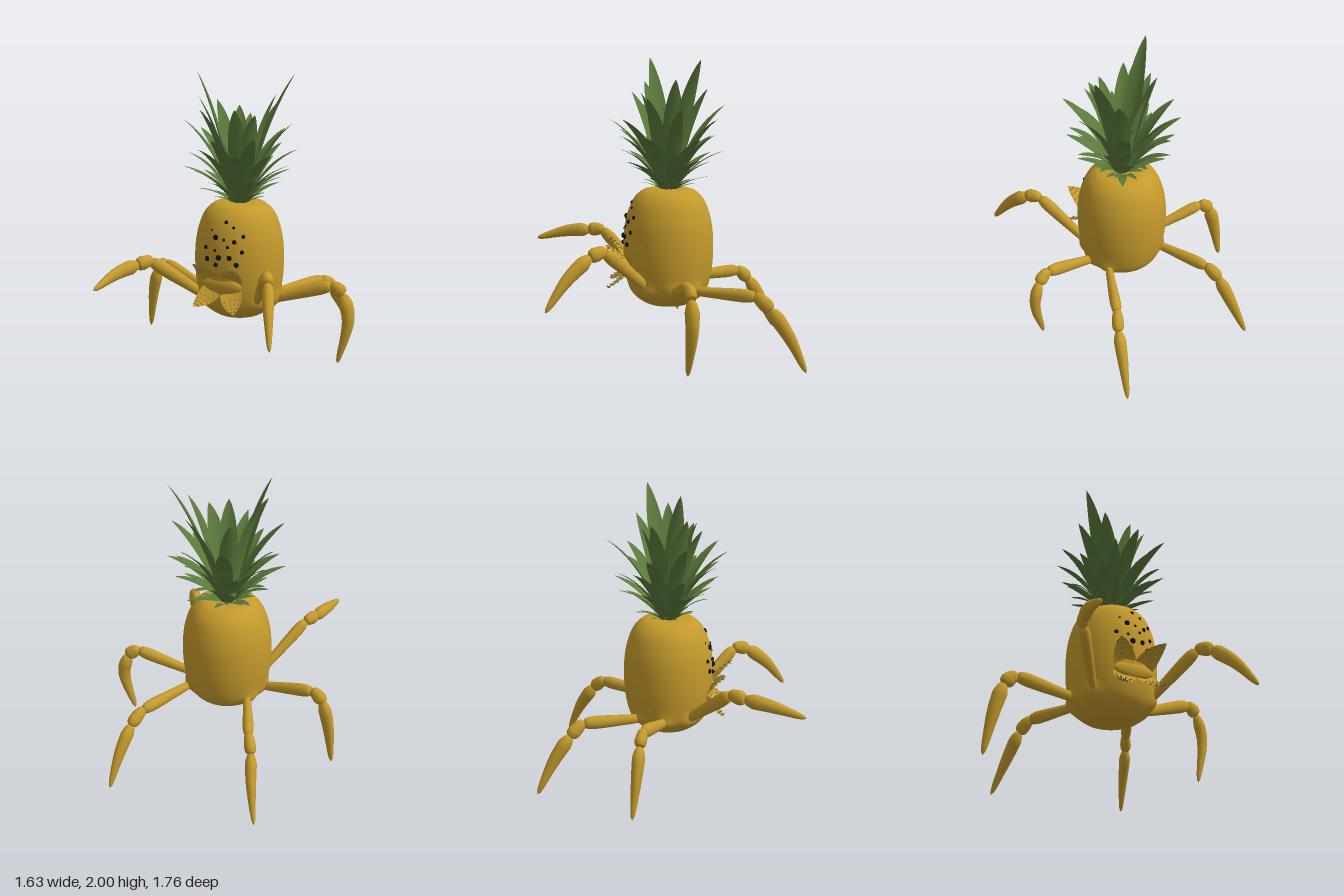
import * as THREE from 'three';
import { mergeVertices } from 'three/addons/utils/BufferGeometryUtils.js';

const V = (x, y, z) => new THREE.Vector3(x, y, z);
const gold = new THREE.MeshStandardMaterial({ color: 0xc49a2c });
const goldThin = new THREE.MeshStandardMaterial({ color: 0xc49a2c, side: THREE.DoubleSide });
const green = new THREE.MeshStandardMaterial({ color: 0x5c7a3c, side: THREE.DoubleSide });
const black = new THREE.MeshStandardMaterial({ color: 0x0c0c0c });
const toothMat = new THREE.MeshStandardMaterial({ color: 0x7a6a48 });
const CX = 0.01, CZ = -0.035;

function add(parent, name, geometry, material) {
  const mesh = new THREE.Mesh(geometry, material);
  mesh.name = name;
  parent.add(mesh);
  return mesh;
}

// Recompute normals without a seam
function smooth(geometry) {
  geometry.deleteAttribute('uv');
  geometry.deleteAttribute('normal');
  const g = mergeVertices(geometry, 1e-5);
  g.computeVertexNormals();
  return g;
}

function sample(list, t) {
  const f = t * (list.length - 1), i = Math.min(Math.floor(f), list.length - 2);
  return THREE.MathUtils.lerp(list[i], list[i + 1], f - i);
}

// Tube of varying radius with rounded ends, narrower sideways than in height
function limb(points, radii) {
  const curve = new THREE.CatmullRomCurve3(points);
  const n = 24, sides = 12;
  const g = new THREE.TubeGeometry(curve, n, 1, sides);
  const along = points[points.length - 1].clone().sub(points[0]);
  const across = V(along.z, 0, -along.x).normalize();
  const pos = g.attributes.position, v = V(0, 0, 0);
  for (let i = 0; i <= n; i++) {
    const t = i / n, c = curve.getPointAt(t);
    const r = sample(radii, t) * Math.sqrt(Math.max(0, 1 - Math.pow(2 * t - 1, 10)));
    for (let j = 0; j <= sides; j++) {
      const k = i * (sides + 1) + j;
      v.fromBufferAttribute(pos, k).sub(c).multiplyScalar(r);
      v.addScaledVector(across, -0.2 * v.dot(across)).add(c);
      pos.setXYZ(k, v.x, v.y, v.z);
    }
  }
  return smooth(g);
}

// Thin sheet from a rule giving a point for (u along, s across)
function sheet(nu, ns, rule) {
  const pos = [], idx = [];
  for (let i = 0; i <= nu; i++) {
    for (let j = 0; j <= ns; j++) {
      pos.push(...rule(i / nu, (2 * j) / ns - 1).toArray());
      if (i < nu && j < ns) {
        const a = i * (ns + 1) + j, b = a + ns + 1;
        idx.push(a, a + 1, b, b, a + 1, b + 1);
      }
    }
  }
  const g = new THREE.BufferGeometry();
  g.setAttribute('position', new THREE.Float32BufferAttribute(pos, 3));
  g.setIndex(idx);
  g.computeVertexNormals();
  return g;
}

// Hip, knee, joint end, shin bend and foot tip of each leg
const legs = {
  frontLeft: [[0.19, 0.46, 0.09], [0.405, 0.785, 0.41], [0.45, 0.77, 0.49], [0.52, 0.635, 0.64], [0.588, 0.445, 0.778]],
  frontRight: [[-0.18, 0.46, 0.09], [-0.435, 0.775, 0.41], [-0.475, 0.765, 0.49], [-0.53, 0.745, 0.67], [-0.565, 0.69, 0.885]],
  middleLeft: [[0.24, 0.46, -0.045], [0.665, 0.605, -0.1], [0.735, 0.56, -0.11], [0.778, 0.38, -0.11], [0.718, 0.06, -0.09]],
  middleRight: [[-0.22, 0.46, -0.03], [-0.635, 0.585, -0.13], [-0.705, 0.53, -0.14], [-0.755, 0.34, -0.155], [-0.803, 0.05, -0.182]],
  backLeft: [[0.22, 0.47, -0.17], [0.43, 0.475, -0.57], [0.475, 0.41, -0.645], [0.522, 0.23, -0.765], [0.562, 0.001, -0.873]],
  backRight: [[-0.18, 0.47, -0.17], [-0.325, 0.475, -0.58], [-0.365, 0.41, -0.65], [-0.405, 0.23, -0.765], [-0.462, 0.001, -0.875]],
};

const profile = new THREE.SplineCurve([
  [0, 0.34], [0.13, 0.342], [0.2, 0.375], [0.255, 0.43], [0.285, 0.51], [0.302, 0.63], [0.305, 0.76],
  [0.297, 0.87], [0.278, 0.96], [0.245, 1.045], [0.2, 1.1], [0.14, 1.128], [0, 1.13],
].map(([r, y]) => new THREE.Vector2(r, y))).getPoints(60).map((p) => new THREE.Vector2(Math.max(p.x, 0), p.y));

function bodyFront(x, y) {
  const r = profile.find((p, k) => k > 3 && p.y >= y).x;
  return CZ + Math.sqrt(Math.max(0, r * r - (x - CX) ** 2));
}

function buildBody(root) {
  const g = new THREE.LatheGeometry(profile, 64);
  const pos = g.attributes.position;
  const hips = Object.values(legs).map(([h]) => Math.atan2(h[0] - CX, h[2] - CZ));
  // Swell the skin around each hip
  for (let i = 0; i < pos.count; i++) {
    const x = pos.getX(i), y = pos.getY(i), z = pos.getZ(i), a = Math.atan2(x, z);
    let k = 1;
    for (const h of hips) {
      const d = Math.atan2(Math.sin(a - h), Math.cos(a - h));
      k += 0.1 * Math.exp(-((d / 0.2) ** 2) - ((y - 0.46) / 0.055) ** 2);
    }
    pos.setXYZ(i, CX + x * k, y, CZ + z * k);
  }
  add(root, 'body', smooth(g), gold);
}

function buildLegs(root) {
  for (const [name, raw] of Object.entries(legs)) {
    const leg = new THREE.Group();
    leg.name = name + 'Leg';
    const [hip, knee, joint, bend, tip] = raw.map((p) => V(...p));
    add(leg, 'thigh', limb([hip, hip.clone().lerp(knee, 0.5), knee], [0.03, 0.034, 0.038, 0.043, 0.046, 0.042]), gold);
    add(leg, 'kneeJoint', limb([knee.clone().lerp(joint, -0.2), knee.clone().lerp(joint, 0.5), joint.clone().lerp(bend, 0.08)],
      [0.03, 0.044, 0.05, 0.04]), gold);
    add(leg, 'shin', limb([joint, bend, tip], [0.034, 0.05, 0.046, 0.04, 0.032, 0.024, 0.015]), gold);
    root.add(leg);
  }
}

function buildEyes(root) {
  const eyes = new THREE.Group();
  eyes.name = 'eyes';
  const spots = [
    [0.03, 1.04, 0.013], [0.085, 1.01, 0.01], [-0.07, 0.98, 0.009], [-0.03, 0.94, 0.018], [0.03, 0.93, 0.01],
    [0.1, 0.92, 0.015], [0.15, 0.955, 0.013], [0.06, 0.885, 0.01], [-0.105, 0.865, 0.014], [-0.03, 0.855, 0.01],
    [0.15, 0.855, 0.014], [0, 0.81, 0.019], [0.075, 0.815, 0.017], [-0.09, 0.79, 0.017], [0.12, 0.77, 0.017], [-0.02, 0.76, 0.015],
  ];
  for (const [x, y, r] of spots) {
    add(eyes, 'eye', new THREE.SphereGeometry(r, 14, 10), black).position.set(x, y, bodyFront(x, y));
  }
  root.add(eyes);
}

function buildMouth(root) {
  const mouth = new THREE.Group();
  mouth.name = 'mouth';
  const lips = add(mouth, 'lips', new THREE.SphereGeometry(1, 28, 16), gold);
  lips.scale.set(0.14, 0.055, 0.03);
  lips.position.set(0.015, 0.615, 0.245);
  for (const sx of [-1, 1]) {
    for (const sy of [-1, 1]) {
      // Petal flap: wide base on the lips, rounding to a point
      const outer = V(0.015 + sx * 0.145, 0.615 + sy * 0.02, 0.23);
      const inner = V(0.015, 0.615 + sy * 0.06, 0.265);
      const tip = V(0.015 + sx * 0.155, 0.63 + sy * 0.147, sx > 0 ? 0.4 : 0.365);
      const mid = outer.clone().lerp(inner, 0.5), half = inner.clone().sub(mid);
      const rule = (u, s) => mid.clone().lerp(tip, u)
        .addScaledVector(half, s * (1 - u ** 1.8 * 0.95))
        .add(V(0, sy * 0.014 * Math.sin(Math.PI * u), 0.014 * s * s * (1 - u)));
      add(mouth, 'flap', sheet(10, 6, rule), goldThin);
      // Rows of small teeth on the inner face
      const lean = V(0, -sy * 0.5, 0.85).normalize();
      for (const u of [0.3, 0.48, 0.66, 0.83]) {
        for (const s of [-0.75, -0.25, 0.25, 0.75]) {
          const tooth = add(mouth, 'tooth', new THREE.ConeGeometry(0.006, 0.022, 6), toothMat);
          tooth.position.copy(rule(u, s)).addScaledVector(lean, 0.007);
          tooth.quaternion.setFromUnitVectors(V(0, 1, 0), lean);
        }
      }
    }
  }
  root.add(mouth);
}

// Broad blade that rises from the crown base and arches outward; short ones arch more
function leaf(parent, tip, width) {
  const out = V(tip.x - CX, 0, tip.z - CZ), reach = out.length();
  out.normalize();
  const side = V(out.z, 0, -out.x), h = tip.y - 1.11;
  const start = Math.min(0.04, reach * 0.2);
  const base = V(CX, 1.11, CZ).addScaledVector(out, start);
  const bend = V(CX, 1.11 + h * (0.86 - 0.28 * h), CZ).addScaledVector(out, start + reach * 0.34);
  const spine = new THREE.QuadraticBezierCurve3(base, bend, tip);
  add(parent, 'leaf', sheet(16, 4, (u, s) => {
    const w = width * 0.5 * Math.pow(Math.max(0, 1 - u ** 4), 0.75) * (0.5 + 0.5 * Math.sin(Math.PI * Math.min(u * 0.85, 1)));
    return spine.getPoint(u).addScaledVector(side, s * w).addScaledVector(out, -0.25 * w * s * s);
  }), green);
}

function buildCrown(root) {
  const crown = new THREE.Group();
  crown.name = 'crown';
  // count, tip reach, tip height, width, turn
  const rings = [
    [11, 0.18, 1.175, 0.045, 0.1], [9, 0.3, 1.27, 0.065, 0.4], [9, 0.36, 1.37, 0.085, 0.1],
    [8, 0.36, 1.49, 0.1, 0.35], [7, 0.375, 1.64, 0.11, 0.75], [4, 0.13, 1.55, 0.11, 0.2], [3, 0.03, 1.45, 0.1, 0.9],
  ];
  rings.forEach(([n, reach, y, w, turn], k) => {
    for (let i = 0; i < n; i++) {
      const a = turn + (i / n) * Math.PI * 2 + 0.12 * Math.sin(i * 2.7 + k);
      const r = reach * (1 + 0.07 * Math.sin(i * 4.1 + k * 2));
      leaf(crown, V(CX + r * Math.sin(a), y + 0.04 * Math.sin(i * 3.3 + k) * (k ? 1 : 0.3), CZ + r * Math.cos(a)), w);
    }
  });
  // Tall central blades
  const tall = [
    [-0.25, 2, 0.07], [0.33, 1.985, -0.21], [-0.22, 1.84, 0.11], [0.26, 1.86, -0.06], [0.2, 1.8, -0.27],
    [-0.17, 1.77, 0.2], [0.06, 1.77, 0.15], [-0.07, 1.76, -0.2], [-0.2, 1.8, -0.12], [0.19, 1.74, 0.12],
  ];
  for (const t of tall) leaf(crown, V(...t), 0.13);
  root.add(crown);
}

export function createModel() {
  const root = new THREE.Group();
  root.name = 'pineappleCrab';
  buildBody(root);
  buildLegs(root);
  buildEyes(root);
  buildMouth(root);
  buildCrown(root);
  return root;
}
